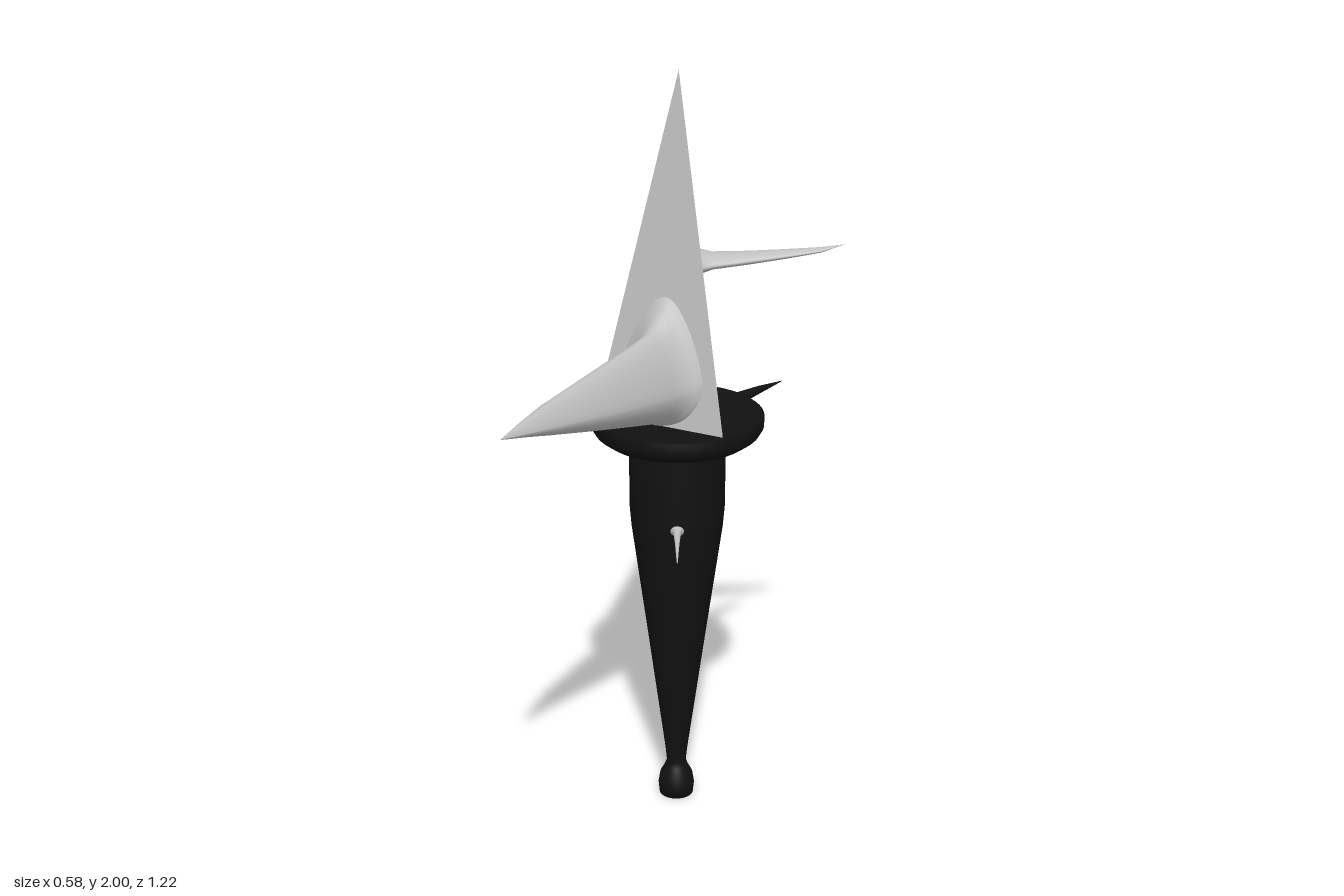
import * as THREE from 'three';

const black = new THREE.MeshStandardMaterial({ color: 0x111111 });
black.name = 'black';
const steel = new THREE.MeshStandardMaterial({ color: 0xc0c0c0 });
steel.name = 'steel';

// Loft along a horizontal direction from the axis.
// Each ring: [distance, sideMin, sideMax, bottom, top, slope];
// "slope" leans a ring so that it lies on a tilted face.
function spike(dx, dz, rings, pointed = 0, n = 28) {
  const dir = new THREE.Vector3(dx, 0, dz).normalize();
  const up = new THREE.Vector3(0, 1, 0);
  const side = up.clone().cross(dir);
  const pos = [], index = [];
  rings.forEach(([d, s0, s1, y0, y1, slope = 0], i) => {
    const mid = y0 + (y1 - y0) * (0.5 - 0.12 * pointed);
    for (let j = 0; j < n; j++) {
      const t = (j / n) * Math.PI * 2, c = Math.cos(t), s = Math.sin(t);
      const narrow = s > 0 ? 1 - 0.35 * pointed * s : 1;
      const u = (s0 + s1) / 2 + (s1 - s0) / 2 * c * narrow;
      const y = mid + (s > 0 ? y1 - mid : mid - y0) * s;
      const p = dir.clone().multiplyScalar(d - slope * (y - mid)).addScaledVector(side, u);
      pos.push(p.x, y, p.z);
      if (i < rings.length - 1) {
        const a = i * n + j, b = i * n + (j + 1) % n;
        index.push(a, b, a + n, b, b + n, a + n);
      }
    }
  });
  const g = new THREE.BufferGeometry();
  g.setAttribute('position', new THREE.Float32BufferAttribute(pos, 3));
  g.setIndex(index);
  g.computeVertexNormals();
  return g;
}

const lathe = (points) =>
  new THREE.LatheGeometry(points.map(([r, y]) => new THREE.Vector2(r, y)), 48);

export function createModel() {
  const model = new THREE.Group();
  const body = new THREE.Group();
  body.name = 'dagger';
  body.position.set(-0.072, 0, -0.221);
  model.add(body);
  const add = (name, geometry, material) => {
    const mesh = new THREE.Mesh(geometry, material);
    mesh.name = name;
    body.add(mesh);
    return mesh;
  };

  // Tapered handle with a small pommel
  add('handle', lathe([[0, 0], [0.046, 0], [0.049, 0.03], [0.044, 0.06], [0.031, 0.085],
    [0.026, 0.1], [0.03, 0.14], [0.078, 0.5], [0.12, 0.81], [0.125, 0.87], [0.125, 1.06]]), black);

  // Round guard, flat on top and rounded underneath
  add('guard', lathe([[0, 1.052], [0.165, 1.052], [0.19, 1.058], [0.213, 1.075],
    [0.223, 1.092], [0.223, 1.118], [0.218, 1.122], [0, 1.122]]), black);

  // Bare metal patches under the guard
  for (const [start, length, outer] of [[-85, 80, 0.163], [32, 28, 0.16], [95, 35, 0.155], [205, 28, 0.16]]) {
    const g = new THREE.RingGeometry(0.125, outer, 16, 1,
      THREE.MathUtils.degToRad(start), THREE.MathUtils.degToRad(length));
    add('guardPatch', g.rotateX(Math.PI / 2), steel).position.y = 1.05;
  }

  // Three-sided blade, one flat face to the front
  const bladeGeometry = new THREE.ConeGeometry(0.212, 0.882, 3, 1, false, Math.PI).toNonIndexed();
  bladeGeometry.computeVertexNormals();
  add('blade', bladeGeometry, steel).position.y = 1.559;

  // Large front horn, flared where it leaves the blade
  add('frontHorn', spike(0, 1, [
    [0.085, -0.125, 0.125, 1.122, 1.46, 0.12],
    [0.103, -0.108, 0.103, 1.125, 1.425, 0.12],
    [0.122, -0.095, 0.089, 1.133, 1.392, 0.09],
    [0.155, -0.084, 0.079, 1.143, 1.373, 0.03],
    [0.22, -0.081, 0.074, 1.16, 1.368],
    [0.42, -0.069, 0.05, 1.214, 1.356],
    [0.62, -0.054, 0.024, 1.27, 1.345],
    [0.72, -0.034, 0.01, 1.3, 1.338],
    [0.827, -0.006, -0.005, 1.331, 1.332],
  ], 1, 40), steel);

  // Thin side horn, higher up the blade
  add('sideHorn', spike(0.866, -0.5, [
    [0.045, -0.075, 0.08, 1.49, 1.562, 0.12],
    [0.06, -0.062, 0.063, 1.5, 1.552, 0.12],
    [0.085, -0.053, 0.047, 1.508, 1.546],
    [0.176, -0.045, 0.025, 1.52, 1.55],
    [0.27, -0.037, 0.012, 1.534, 1.555],
    [0.352, -0.03, 0.001, 1.548, 1.56],
    [0.412, -0.007, -0.006, 1.564, 1.565],
  ], 0.5), steel);

  // Spike at the back of the guard
  add('guardSpike', spike(0.283, -0.96, [
    [0.19, -0.028, 0.03, 1.066, 1.118],
    [0.23, -0.018, 0.02, 1.083, 1.115],
    [0.32, -0.008, 0.016, 1.092, 1.11],
    [0.406, 0, 0.001, 1.103, 1.104],
  ], 0, 16), black);

  // Small thorn on the handle
  add('handleThorn', spike(0.466, 0.885, [
    [0.118, -0.02, 0.02, 0.825, 0.859],
    [0.132, -0.01, 0.01, 0.832, 0.853],
    [0.2, -0.006, 0.006, 0.837, 0.849],
    [0.322, -0.001, 0.001, 0.842, 0.844],
  ], 0, 16), steel);

  return model;
}
